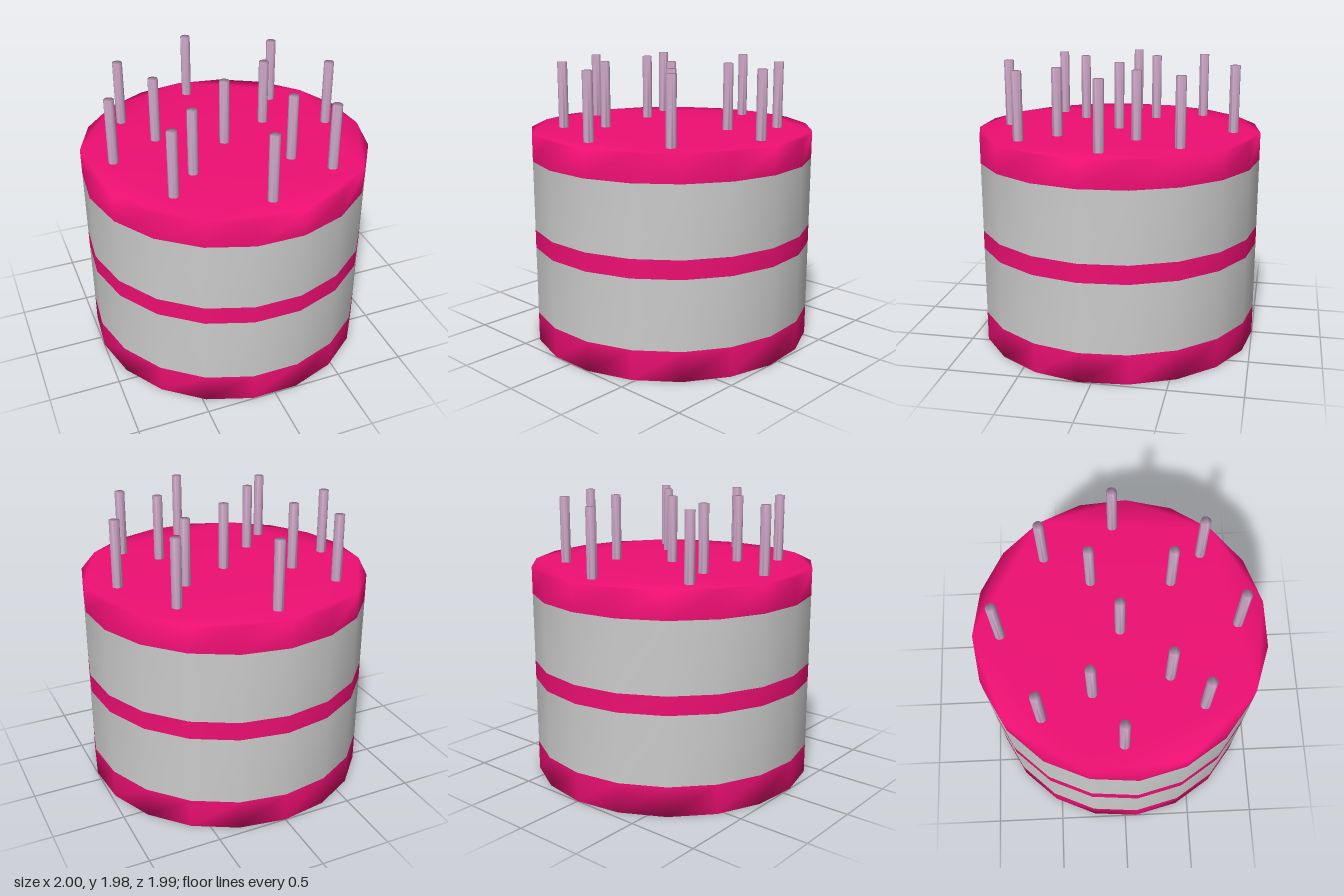
import * as THREE from 'three';
import { mergeGeometries, mergeVertices } from 'three/addons/utils/BufferGeometryUtils.js';

const pink = new THREE.MeshStandardMaterial({ color: 0xee0f73 });
const grey = new THREE.MeshStandardMaterial({ color: 0xcccccc });
const lilac = new THREE.MeshStandardMaterial({ color: 0xcfa8c8 });

// Upright prism from y0 to y1 with optional flat caps, smoothed over the rims.
function prism(radius, sides, y0, y1, { top = false, bottom = false } = {}) {
  const wall = new THREE.CylinderGeometry(radius, radius, y1 - y0, sides, 1, true, Math.PI);
  wall.translate(0, (y0 + y1) / 2, 0);
  const parts = [wall];
  const cap = (y, turn) => {
    const rim = [];
    for (let i = 0; i < sides; i++) {
      const a = Math.PI + (i / sides) * Math.PI * 2;
      rim.push(new THREE.Vector2(radius * Math.sin(a), -turn * radius * Math.cos(a)));
    }
    const disc = new THREE.ShapeGeometry(new THREE.Shape(rim));
    disc.rotateX(-turn * Math.PI / 2).translate(0, y, 0);
    parts.push(disc);
  };
  if (top) cap(y1, 1);
  if (bottom) cap(y0, -1);
  for (const g of parts) {
    g.deleteAttribute('normal');
    g.deleteAttribute('uv');
  }
  const geometry = mergeVertices(mergeGeometries(parts), 1e-4);
  geometry.computeVertexNormals();
  return geometry;
}

export function createModel() {
  const model = new THREE.Group();
  model.name = 'cake';

  // Stacked layers: icing and sponge share one 19-sided outline
  const layers = [
    ['bottomIcing', 0, 0.21, pink, { bottom: true }],
    ['lowerSponge', 0.21, 0.70, grey],
    ['middleIcing', 0.70, 0.83, pink],
    ['upperSponge', 0.83, 1.32, grey],
    ['topIcing', 1.32, 1.51, pink, { top: true }],
  ];
  for (const [name, y0, y1, material, caps] of layers) {
    const layer = new THREE.Mesh(prism(1.003, 19, y0, y1, caps), material);
    layer.name = name;
    layer.position.z = 0.004;
    model.add(layer);
  }

  // Candles standing on the top icing, given as [x, z]
  const candles = new THREE.Group();
  candles.name = 'candles';
  const spots = [
    [0, -0.81], [-0.595, -0.54], [0.565, -0.505], [-0.44, -0.2], [0.37, -0.185],
    [-0.797, -0.003], [0.795, -0.017], [0, 0.003], [-0.343, 0.323], [0.345, 0.37],
    [-0.55, 0.54], [0.55, 0.588], [0.018, 0.807],
  ];
  const candleShape = prism(0.035, 20, 1.51, 1.975, { top: true, bottom: true });
  spots.forEach(([x, z], i) => {
    const candle = new THREE.Mesh(candleShape, lilac);
    candle.name = `candle${i + 1}`;
    candle.position.set(x, 0, z);
    candles.add(candle);
  });
  model.add(candles);
  return model;
}
